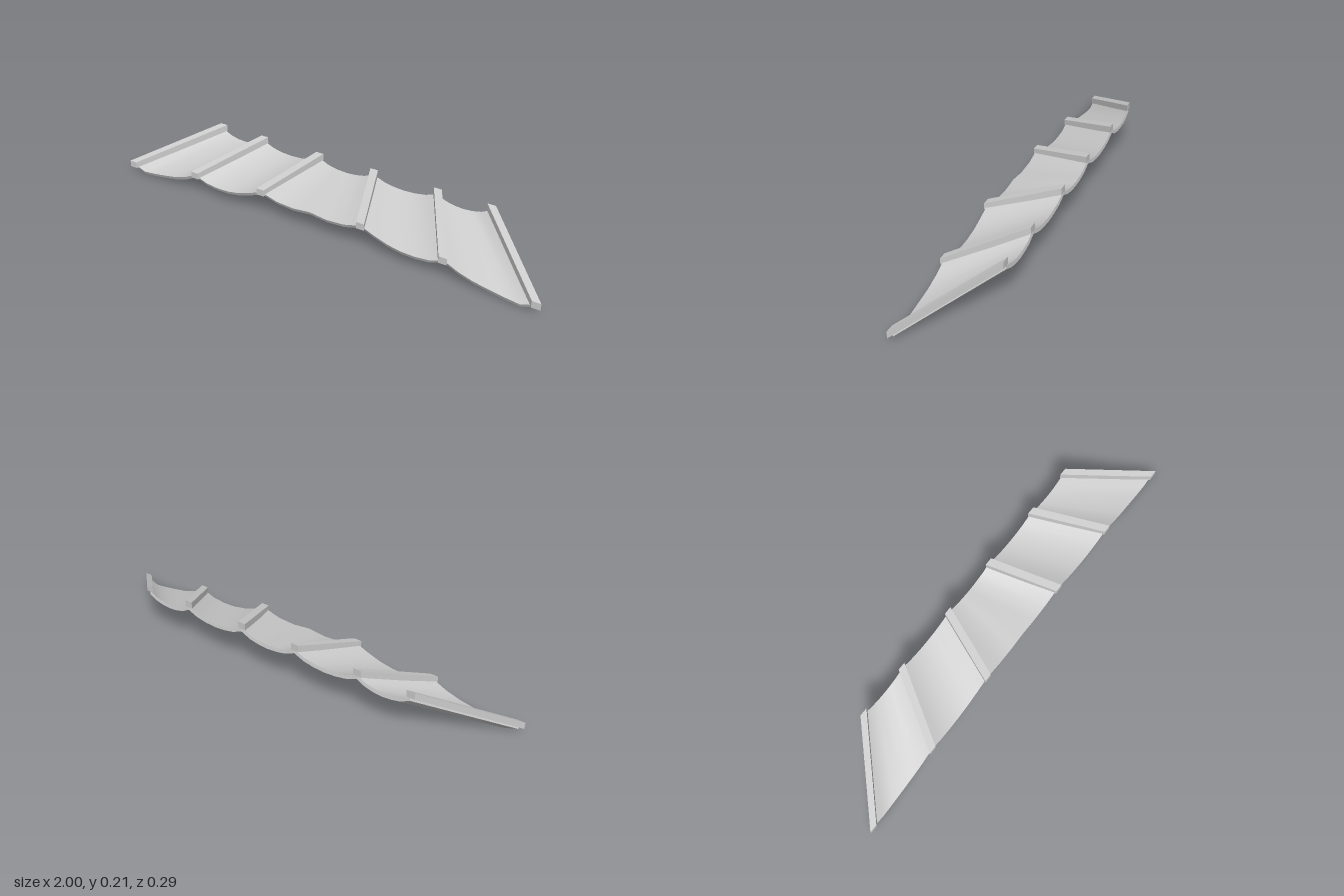
import * as THREE from 'three';
import { mergeGeometries } from 'three/addons/utils/BufferGeometryUtils.js';

const material = new THREE.MeshStandardMaterial({ color: 0xcccccc });
const lerp = THREE.MathUtils.lerp;

// Ribs of the right half: centre x at front and back, underside height at the front
const halfRibs = [
  { front: 0.245, back: 0.136, y: 0.106 },
  { front: 0.607, back: 0.432, y: 0.078 },
  { front: 0.982, back: 0.665, y: 0.025 },
];
const ribs = [
  ...halfRibs.map(r => ({ front: -r.front, back: -r.back, y: r.y })).reverse(),
  ...halfRibs,
];
const RIB_WIDTH = 0.036, RIB_HEIGHT = 0.029, BACK_Y = 0.184;
const THICKNESS = 0.015;

// Sag of the cloth across a panel, at equal steps
const backSag = [0, 0.02, 0.029, 0.032, 0.029, 0.02, 0];
const outerSag = [0, 0.031, 0.033, 0.032, 0.03, 0.02, 0];
const middleSag = [0, 0.027, 0.038, 0.041, 0.035, 0.02, 0];
const centreSag = [0, 0.022, 0.027, 0.018, 0.027, 0.022, 0];
const frontSags = [
  outerSag, middleSag, centreSag, [...middleSag].reverse(), [...outerSag].reverse(),
];

// Surface between two rows of points
function strip(a, b) {
  const index = [], n = a.length;
  for (let i = 0; i < n - 1; i++) {
    index.push(i, n + i, n + i + 1, i, n + i + 1, i + 1);
  }
  const geometry = new THREE.BufferGeometry().setFromPoints([...a, ...b]);
  geometry.setIndex(index);
  geometry.computeVertexNormals();
  return geometry;
}

// Sloping bar: a unit box sheared between its front and back positions
function makeRib(rib) {
  const geometry = new THREE.BoxGeometry(1, 1, 1);
  const p = geometry.attributes.position;
  for (let i = 0; i < p.count; i++) {
    const t = p.getZ(i) + 0.5;
    p.setXYZ(i,
      lerp(rib.back, rib.front, t) + p.getX(i) * RIB_WIDTH,
      lerp(BACK_Y, rib.y, t) + (p.getY(i) + 0.5) * RIB_HEIGHT,
      lerp(-0.143, 0.146, t));
  }
  geometry.computeVertexNormals();
  const mesh = new THREE.Mesh(geometry, material);
  mesh.name = 'rib';
  return mesh;
}

// Sagging cloth slab hung between two neighbouring ribs
function makePanel(left, right, frontSag) {
  const row = (x0, x1, y0, y1, sag, z, drop) => sag.map((s, i) => {
    const t = i / (sag.length - 1);
    return new THREE.Vector3(lerp(x0, x1, t), lerp(y0, y1, t) - s + drop, z);
  });
  const front = (z, drop) => row(left.front, right.front, left.y, right.y, frontSag, z, drop);
  const back = (z, drop) => row(left.back, right.back, BACK_Y, BACK_Y, backSag, z, drop);
  const frontTop = front(0.14, THICKNESS - 0.001), frontBottom = front(0.133, -0.001);
  const backTop = back(-0.142, THICKNESS - 0.011), backBottom = back(-0.145, -0.011);
  const n = backSag.length - 1;
  const geometry = mergeGeometries([
    strip(backTop, frontTop),
    strip(frontBottom, backBottom),
    strip(frontTop, frontBottom),
    strip(backBottom, backTop),
    strip([backTop[0], frontTop[0]], [backBottom[0], frontBottom[0]]),
    strip([frontTop[n], backTop[n]], [frontBottom[n], backBottom[n]]),
  ]);
  const mesh = new THREE.Mesh(geometry, material);
  mesh.name = 'clothPanel';
  return mesh;
}

export function createModel() {
  const group = new THREE.Group();
  group.name = 'awning';
  ribs.forEach(rib => group.add(makeRib(rib)));
  frontSags.forEach((sag, i) => group.add(makePanel(ribs[i], ribs[i + 1], sag)));
  return group;
}
